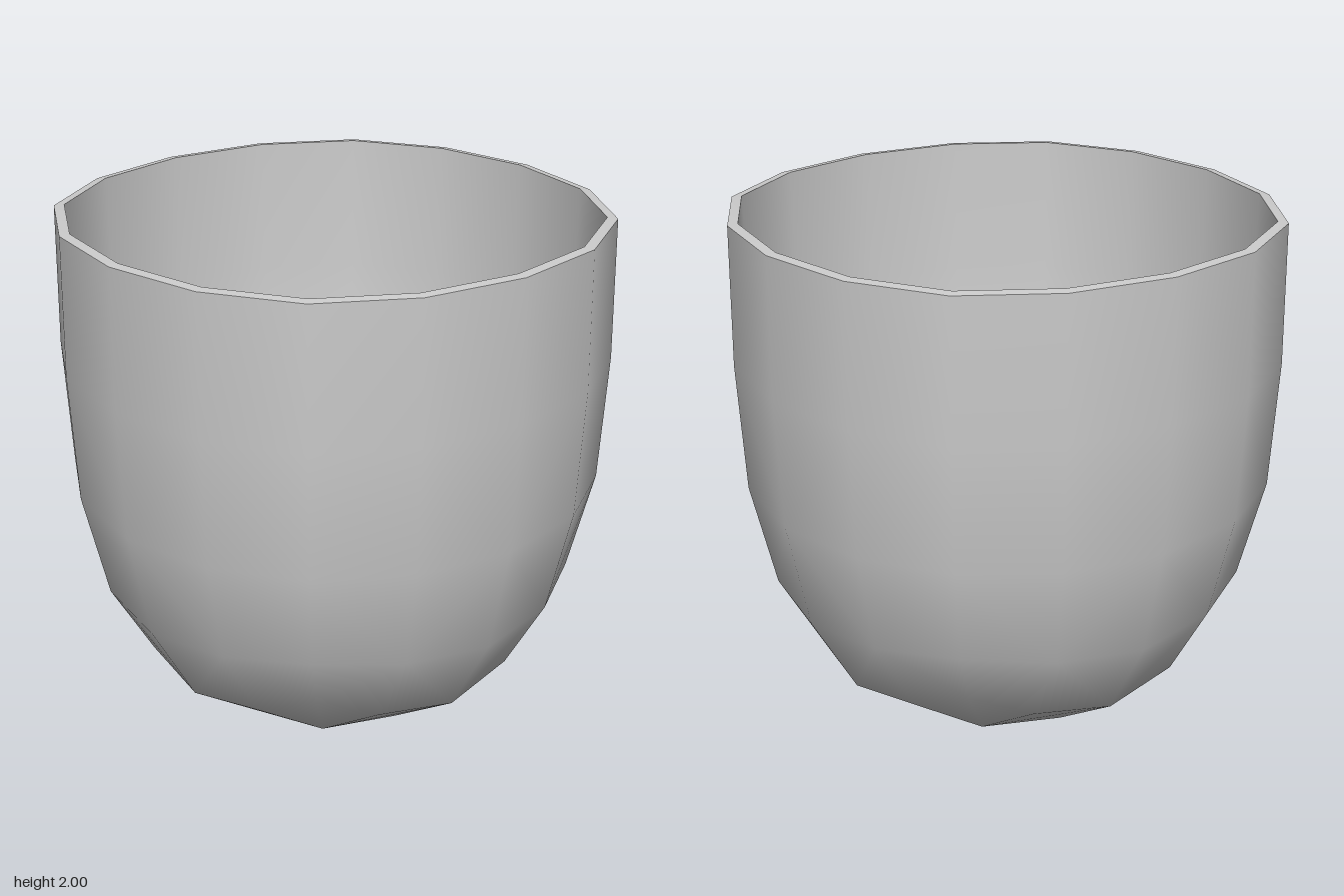
import * as THREE from 'three';

const mean = (pts) => pts.reduce((s, p) => s.add(p), new THREE.Vector3()).divideScalar(pts.length);

// Box cage without a lid: bottom half-width and height, top half-width and height
function openBox(bottomR, bottomY, topR, topY) {
  const ring = (r, y) => [[-1, -1], [1, -1], [1, 1], [-1, 1]].map(([x, z]) => new THREE.Vector3(x * r, y, z * r));
  const faces = [[0, 1, 2, 3]];
  for (let i = 0; i < 4; i++) {
    const j = (i + 1) % 4;
    faces.push([i, i + 4, j + 4, j]);
  }
  return { verts: [...ring(bottomR, bottomY), ...ring(topR, topY)], faces };
}

// Edge table: each edge keeps the direction of its first face and the faces it touches
function edgesOf(faces) {
  const edges = new Map();
  faces.forEach((f, fi) => f.forEach((a, k) => {
    const b = f[(k + 1) % 4];
    const key = a < b ? `${a},${b}` : `${b},${a}`;
    if (!edges.has(key)) edges.set(key, { a, b, faces: [] });
    edges.get(key).faces.push(fi);
  }));
  return edges;
}

// One Catmull-Clark step; the open rim follows its own smooth curve
function subdivide({ verts, faces }) {
  const edges = edgesOf(faces);
  const facePts = faces.map((f) => mean(f.map((i) => verts[i])));
  const moved = verts.map((p, i) => {
    const own = [...edges.values()].filter((e) => e.a === i || e.b === i);
    const rim = own.filter((e) => e.faces.length === 1);
    if (rim.length) {
      const sides = mean(rim.map((e) => verts[e.a === i ? e.b : e.a]));
      return p.clone().lerp(sides, 0.25);
    }
    const n = own.length;
    const F = mean(facePts.filter((_, k) => faces[k].includes(i)));
    const R = mean(own.map((e) => mean([verts[e.a], verts[e.b]])));
    return F.addScaledVector(R, 2).addScaledVector(p, n - 3).divideScalar(n);
  });
  const out = [...moved, ...facePts];
  for (const e of edges.values()) {
    const ends = [verts[e.a], verts[e.b]];
    e.index = out.length;
    out.push(mean(e.faces.length === 1 ? ends : [...ends, ...e.faces.map((k) => facePts[k])]));
  }
  const edgeIndex = (a, b) => edges.get(a < b ? `${a},${b}` : `${b},${a}`).index;
  const quads = faces.flatMap((f, fi) => f.map((v, k) => [
    v, edgeIndex(v, f[(k + 1) % 4]), verts.length + fi, edgeIndex(f[(k + 3) % 4], v),
  ]));
  return { verts: out, faces: quads };
}

function toGeometry(verts, faces) {
  const g = new THREE.BufferGeometry().setFromPoints(verts);
  g.setIndex(faces.flatMap(([a, b, c, d]) => [a, b, c, a, c, d]));
  g.computeVertexNormals();
  return g;
}

export function createModel() {
  const group = new THREE.Group();
  group.name = 'cup';
  const material = new THREE.MeshStandardMaterial({ color: 0xcccccc });
  const add = (name, verts, faces) => {
    const mesh = new THREE.Mesh(toGeometry(verts, faces), material);
    mesh.name = name;
    group.add(mesh);
  };

  // Outer and inner walls share one layout
  const outer = subdivide(subdivide(openBox(1.06, -0.129, 1.06, 1.995)));
  const inner = subdivide(subdivide(openBox(0.955, -0.06, 1.02, 2)));
  add('outerWall', outer.verts, outer.faces);
  add('innerWall', inner.verts, inner.faces.map((f) => [...f].reverse()));

  // Flat lip bridging the two open edges
  const n = outer.verts.length;
  const lip = [...edgesOf(outer.faces).values()]
    .filter((e) => e.faces.length === 1)
    .map(({ a, b }) => [b, a, a + n, b + n]);
  add('rim', [...outer.verts, ...inner.verts], lip);
  return group;
}
